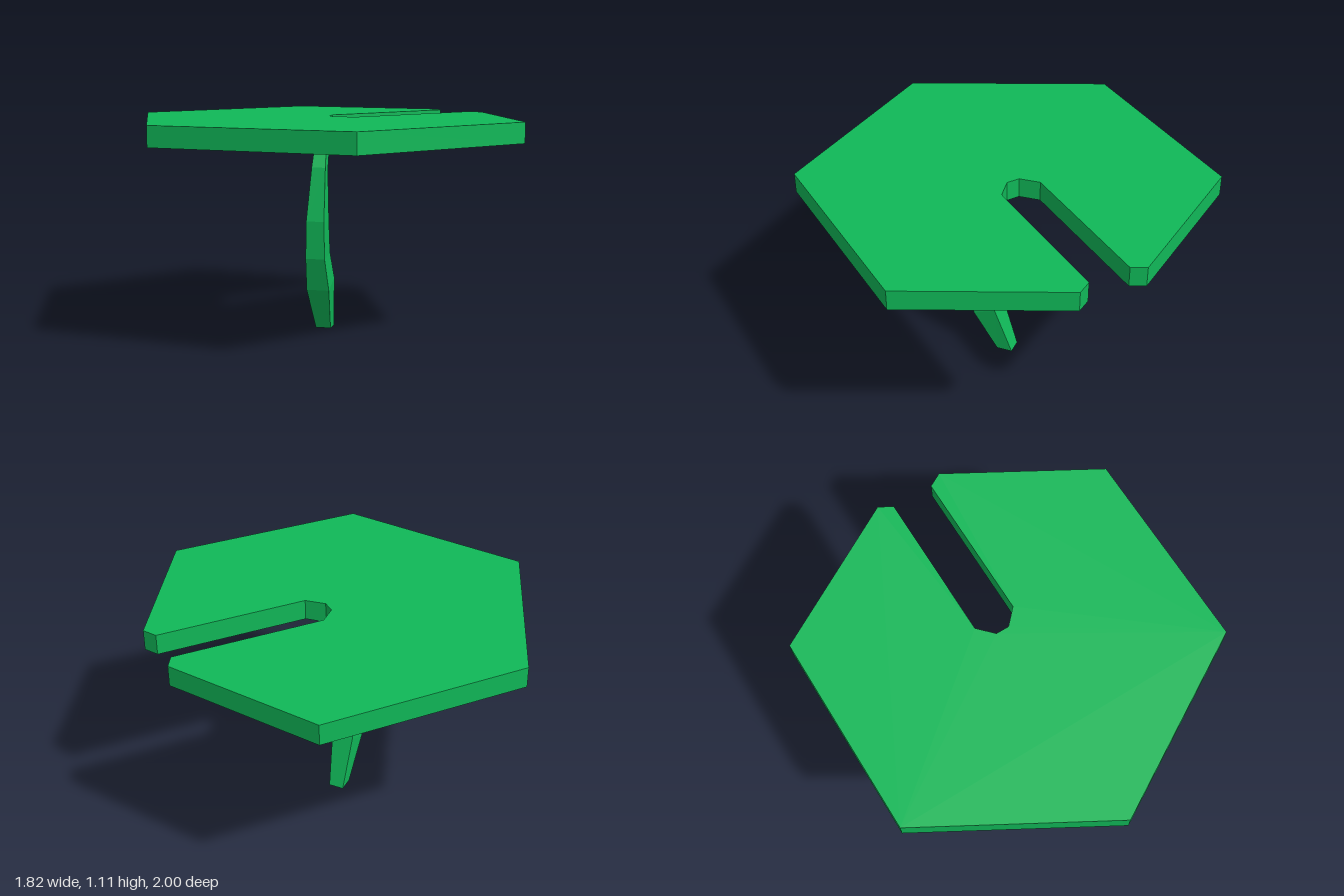
import * as THREE from 'three';

const green = new THREE.MeshStandardMaterial({ color: 0x10b858, flatShading: true });

// Flat hexagonal leaf with a slot cut in from the back edge
function makeLeaf() {
  const half = [[0.908, 0.475], [0.908, -0.577], [0.178, -1], [0.108, -0.96], [0.108, -0.183], [0.034, -0.105]];
  const mirrored = half.map(([x, z]) => [-x, z]).reverse();
  const outline = [[0, 1], ...half, ...mirrored].map(([x, z]) => new THREE.Vector2(x, z));
  const geometry = new THREE.ExtrudeGeometry(new THREE.Shape(outline), { depth: 0.105, bevelEnabled: false });
  geometry.rotateX(Math.PI / 2).translate(0, 1.105, 0);
  const mesh = new THREE.Mesh(geometry, green);
  mesh.name = 'leaf';
  return mesh;
}

// Four-sided curved stem; its width runs along one diagonal and it bows along the other
function makeStem() {
  // outer corner x, y, z; inner corner x, y, z; width
  const levels = [
    [-0.005, 0, 0.005, -0.058, 0, -0.059, 0.08],
    [0.059, 0.225, 0.113, -0.015, 0.273, 0.019, 0.118],
    [0.093, 0.395, 0.145, 0.02, 0.413, 0.053, 0.1],
    [0.098, 0.588, 0.145, 0.04, 0.587, 0.068, 0.093],
    [0.073, 0.857, 0.091, 0.03, 0.84, 0.041, 0.072],
    [0.024, 1, 0.027, -0.012, 1, -0.021, 0.058],
  ];
  const positions = [];
  for (const [ox, oy, oz, ix, iy, iz, w] of levels) {
    const dx = 0.79 * w, dz = -0.61 * w;
    positions.push(ox, oy, oz, ox + dx, oy, oz + dz, ix + dx, iy, iz + dz, ix, iy, iz);
  }
  const index = [];
  for (let i = 0; i < levels.length - 1; i++) {
    for (let k = 0; k < 4; k++) {
      const a = i * 4 + k, b = i * 4 + (k + 1) % 4;
      index.push(a, b, b + 4, a, b + 4, a + 4);
    }
  }
  // End caps
  const t = (levels.length - 1) * 4;
  index.push(0, 2, 1, 0, 3, 2, t, t + 1, t + 2, t, t + 2, t + 3);
  const indexed = new THREE.BufferGeometry();
  indexed.setAttribute('position', new THREE.Float32BufferAttribute(positions, 3));
  indexed.setIndex(index);
  const geometry = indexed.toNonIndexed();
  geometry.computeVertexNormals();
  const mesh = new THREE.Mesh(geometry, green);
  mesh.name = 'stem';
  return mesh;
}

export function createModel() {
  const group = new THREE.Group();
  group.name = 'lilyPad';
  group.add(makeLeaf(), makeStem());
  return group;
}
